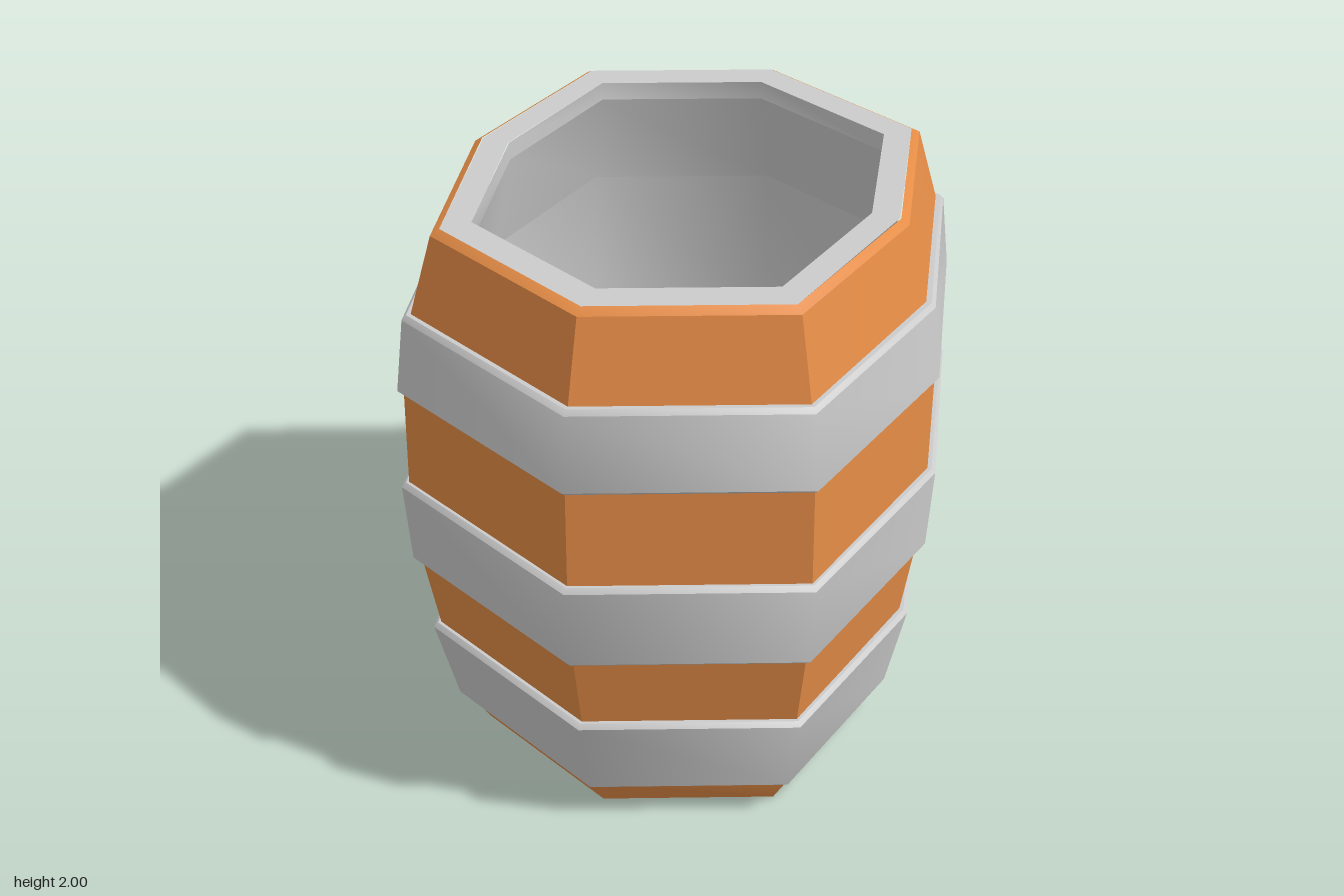
import * as THREE from 'three';
import { mergeGeometries, mergeVertices, toCreasedNormals } from 'three/addons/utils/BufferGeometryUtils.js';

const SIDES = 8;
const wood = new THREE.MeshStandardMaterial({ color: 0xe48c46 });
const metal = new THREE.MeshStandardMaterial({ color: 0xcccccc });

// Octagonal ring surface from a [radius, height] profile; each step keeps a sharp edge.
// The two side corners are pulled in so the octagon is narrower in x.
function octagon(profile, pinch, smooth) {
  const strips = [];
  for (let i = 0; i < profile.length - 1; i++) {
    const points = [profile[i], profile[i + 1]].map(([r, y]) => new THREE.Vector2(r, y));
    let strip = new THREE.LatheGeometry(points, SIDES);
    const pos = strip.attributes.position;
    for (let k = 0; k < pos.count; k++) {
      const x = pos.getX(k), z = pos.getZ(k);
      if (Math.abs(z) < 0.001) pos.setX(k, x * pinch);
    }
    strip.deleteAttribute('uv');
    strip.deleteAttribute('normal');
    strip = mergeVertices(strip, 1e-4);
    if (smooth) {
      strip.computeVertexNormals();
      strip = strip.toNonIndexed();
    } else {
      strip = toCreasedNormals(strip, 0.6);
    }
    strips.push(strip);
  }
  return mergeGeometries(strips);
}

function addPart(group, name, geometry, material) {
  const mesh = new THREE.Mesh(geometry, material);
  mesh.name = name;
  group.add(mesh);
}

export function createModel() {
  const barrel = new THREE.Group();
  barrel.name = 'barrel';

  // Bulging wooden body with a flat base and a chamfered top edge
  addPart(barrel, 'base', octagon([[0, 0], [0.75, 0]], 0.875, false), wood);
  addPart(barrel, 'lowerStaves', octagon([[0.75, 0], [0.83, 0.15]], 0.875, true), wood);
  addPart(barrel, 'staves', octagon([
    [0.83, 0.15], [0.895, 0.49], [0.94, 0.79], [0.957, 1.11],
    [0.945, 1.45], [0.9, 1.73], [0.82, 1.983], [0.79, 2],
  ], 0.875, false), wood);

  // Grey rim, short vertical lip and hollow interior
  addPart(barrel, 'rim', octagon([[0.79, 2], [0.69, 2]], 0.87, false), metal);
  addPart(barrel, 'interior', octagon([
    [0.69, 2], [0.69, 1.94], [0.78, 1.6], [0.82, 1.05], [0.76, 0.5], [0.68, 0.1], [0, 0.1],
  ], 0.865, true), metal);

  // Three metal hoops: [bottom height, bottom radius, top height, top radius]
  const hoops = {
    lowerHoop: [0.14, 0.852, 0.495, 0.922],
    middleHoop: [0.785, 0.968, 1.11, 0.982],
    upperHoop: [1.45, 0.965, 1.73, 0.93],
  };
  for (const [name, [y0, r0, y1, r1]] of Object.entries(hoops)) {
    const bevel = 0.015;
    addPart(barrel, name, octagon([
      [r0 - 0.06, y0], [r0 - bevel, y0], [r0, y0 + bevel],
      [r1, y1 - bevel], [r1 - bevel, y1], [r1 - 0.06, y1],
    ], 0.88, true), metal);
  }
  return barrel;
}
